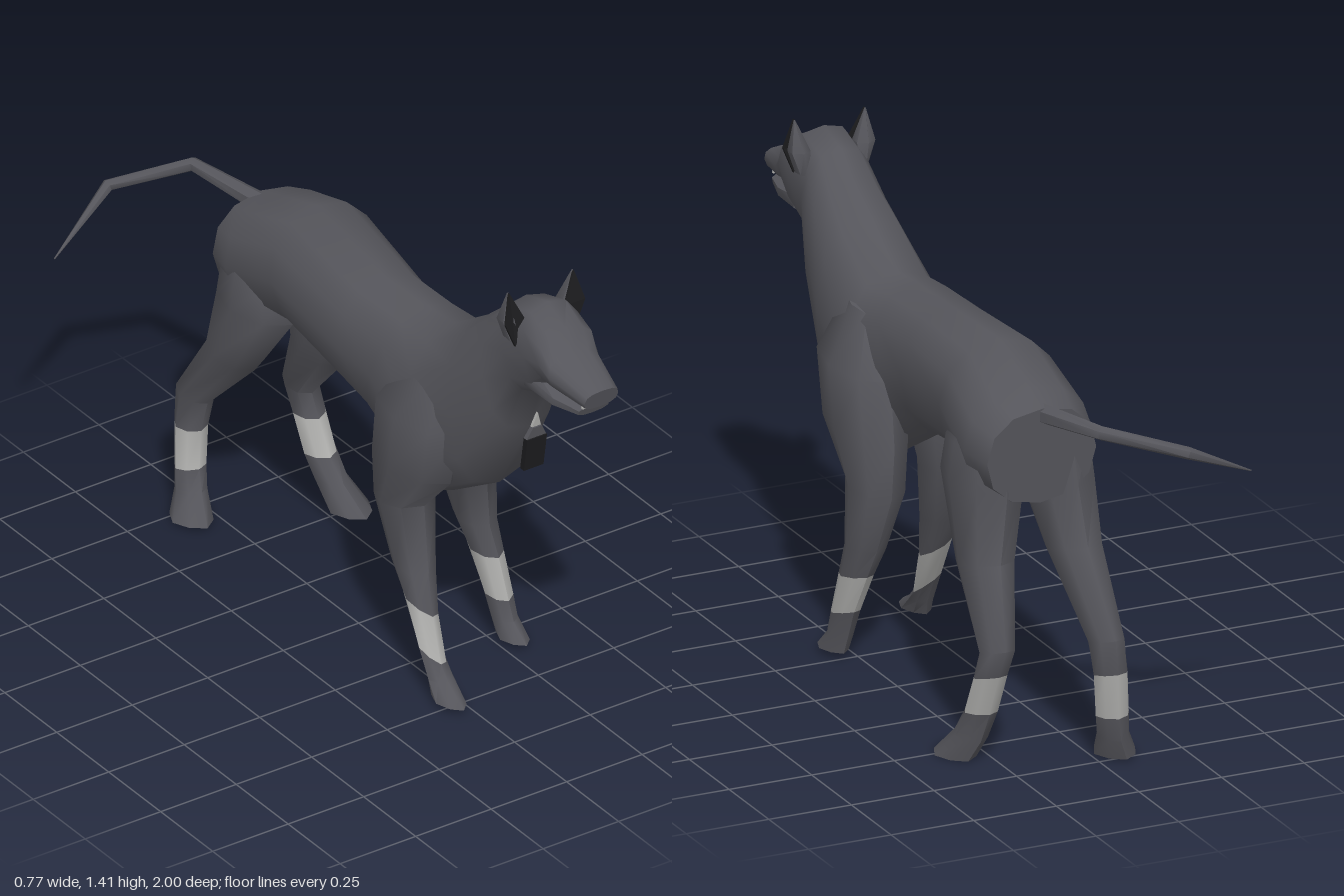
import * as THREE from 'three';
import { toCreasedNormals } from 'three/addons/utils/BufferGeometryUtils.js';

const V = (x, y, z) => new THREE.Vector3(x, y, z);
const material = (name, color) => {
  const m = new THREE.MeshStandardMaterial({ color });
  m.name = name;
  return m;
};

// Closed skin over rings of { center, right, up }; the section runs from power p0 to p1
// (below 1 boxy, above 1 diamond); band = index of the light segment
function loft(rings, sides = 10, p0 = 0.85, p1 = p0, band = -1) {
  const pos = [], index = [], groups = [];
  const last = rings.length - 1, c0 = rings.length * sides, c1 = c0 + 1;
  rings.forEach(({ center, right, up }, i) => {
    const power = THREE.MathUtils.lerp(p0, p1, i / last);
    const soft = v => Math.sign(v) * Math.abs(v) ** power;
    for (let j = 0; j < sides; j++) {
      const a = (j / sides) * Math.PI * 2;
      const p = center.clone()
        .addScaledVector(right, soft(Math.sin(a)))
        .addScaledVector(up, soft(Math.cos(a)));
      pos.push(p.x, p.y, p.z);
    }
  });
  pos.push(...rings[0].center.toArray(), ...rings[last].center.toArray());
  for (let i = 0; i < last; i++) {
    groups.push([index.length, sides * 6, i === band ? 1 : 0]);
    for (let j = 0; j < sides; j++) {
      const k = (j + 1) % sides, a = i * sides, b = a + sides;
      index.push(a + j, b + j, a + k, a + k, b + j, b + k);
    }
  }
  groups.push([index.length, sides * 6, 0]);
  for (let j = 0; j < sides; j++) {
    const k = (j + 1) % sides, b = last * sides;
    index.push(c0, j, k, c1, b + k, b + j);
  }
  const g = new THREE.BufferGeometry();
  g.setAttribute('position', new THREE.Float32BufferAttribute(pos, 3));
  g.setIndex(index);
  if (band >= 0) groups.forEach(q => g.addGroup(...q));
  return toCreasedNormals(g, 1.0);
}

// Ring from two opposite points in the side plane, a centre x, a half width and a sideways tilt
const ring = ([z1, y1, z2, y2, x, w, tilt = 0]) => ({
  center: V(x, (y1 + y2) / 2, (z1 + z2) / 2),
  right: V(w, tilt, 0),
  up: V(0, (y1 - y2) / 2, (z1 - z2) / 2),
});

// Plate drawn in x and y, with z leaning by height
function plate(points, zAt, depth = 0.009) {
  const shape = new THREE.Shape(points.map(p => new THREE.Vector2(...p)));
  const g = new THREE.ExtrudeGeometry(shape, { depth, bevelEnabled: false });
  const p = g.attributes.position;
  for (let i = 0; i < p.count; i++) p.setZ(i, p.getZ(i) + zAt(p.getY(i)));
  g.computeVertexNormals();
  return g;
}

export function createModel() {
  const group = new THREE.Group();
  const coat = material('charcoal coat', 0x55555b);
  const light = material('pale grey', 0xb0b0ae);
  const black = material('black', 0x1c1c1e);
  const add = (name, geometry, mat) => {
    const mesh = new THREE.Mesh(geometry, mat);
    mesh.name = name;
    group.add(mesh);
  };

  // Trunk, neck, skull and upper muzzle: top z,y, bottom z,y, centre x, half width
  add('body', loft([
    [-0.645, 1.02, -0.63, 0.74, 0.12, 0.165],
    [-0.56, 1.05, -0.52, 0.73, 0.12, 0.19],
    [-0.36, 1.12, -0.3, 0.78, 0.11, 0.175],
    [0, 1.087, 0, 0.73, 0.085, 0.155],
    [0.2, 1.087, 0.07, 0.69, 0.092, 0.152],
    [0.31, 1.087, 0.308, 0.55, 0.105, 0.165],
    [0.463, 1.19, 0.517, 0.68, 0.11, 0.15],
    [0.55, 1.265, 0.645, 0.92, 0.12, 0.122],
    [0.63, 1.334, 0.7, 1.07, 0.12, 0.102],
    [0.735, 1.366, 0.785, 1.105, 0.12, 0.1],
    [0.82, 1.32, 0.83, 1.165, 0.12, 0.095],
    [0.855, 1.26, 0.87, 1.168, 0.12, 0.086],
    [1.0, 1.215, 0.985, 1.157, 0.12, 0.056],
  ].map(ring), 12, 0.9, 0.75), coat);

  add('lowerJaw', loft([
    [0.74, 1.2, 0.75, 1.105, 0.12, 0.09],
    [0.87, 1.168, 0.865, 1.108, 0.12, 0.078],
    [0.962, 1.154, 0.95, 1.12, 0.12, 0.052],
  ].map(ring)), coat);
  const teeth = new THREE.BoxGeometry(0.09, 0.006, 0.008);
  teeth.translate(0.12, 1.156, 0.964);
  add('teeth', teeth, light);

  // Legs: front z,y, back z,y, centre x, half width, from shoulder or hip to sole
  const legs = {
    frontLegLeft: [
      [0.4, 1.02, 0.22, 1.0, 0.19, 0.05],
      [0.47, 0.86, 0.1, 0.85, 0.222, 0.1],
      [0.43, 0.68, 0.06, 0.67, 0.23, 0.094],
      [0.26, 0.55, 0.05, 0.53, 0.243, 0.08],
      [0.25, 0.35, 0.105, 0.36, 0.262, 0.058],
      [0.275, 0.255, 0.14, 0.275, 0.275, 0.047],
      [0.308, 0.13, 0.2, 0.155, 0.285, 0.042],
      [0.325, 0.07, 0.23, 0.07, 0.29, 0.038],
      [0.38, 0.02, 0.245, 0.02, 0.295, 0.042],
    ],
    frontLegRight: [
      [0.42, 1.02, 0.24, 1.0, 0.03, 0.05],
      [0.49, 0.86, 0.14, 0.85, -0.002, 0.1],
      [0.45, 0.68, 0.12, 0.67, -0.006, 0.094],
      [0.33, 0.55, 0.14, 0.53, -0.01, 0.082],
      [0.365, 0.35, 0.22, 0.36, -0.02, 0.058],
      [0.397, 0.235, 0.28, 0.27, -0.028, 0.047, -0.025],
      [0.44, 0.105, 0.35, 0.145, -0.03, 0.042, -0.025],
      [0.475, 0.065, 0.395, 0.065, -0.03, 0.038],
      [0.56, 0.02, 0.415, 0.02, -0.037, 0.042],
    ],
    hindLegLeft: [
      [-0.4, 0.98, -0.61, 0.98, 0.205, 0.068],
      [-0.33, 0.88, -0.62, 0.9, 0.215, 0.094],
      [-0.31, 0.78, -0.635, 0.78, 0.222, 0.1],
      [-0.42, 0.535, -0.62, 0.57, 0.235, 0.08],
      [-0.62, 0.33, -0.728, 0.36, 0.272, 0.053],
      [-0.598, 0.255, -0.7, 0.278, 0.28, 0.051],
      [-0.555, 0.15, -0.66, 0.157, 0.288, 0.05],
      [-0.51, 0.085, -0.63, 0.07, 0.3, 0.048],
      [-0.43, 0.003, -0.595, 0.003, 0.322, 0.062],
    ],
    hindLegRight: [
      [-0.42, 0.98, -0.615, 0.98, 0.032, 0.068],
      [-0.36, 0.88, -0.63, 0.9, 0.022, 0.094],
      [-0.34, 0.78, -0.65, 0.78, 0.015, 0.1],
      [-0.5, 0.56, -0.68, 0.605, 0, 0.08],
      [-0.71, 0.35, -0.828, 0.38, -0.012, 0.053],
      [-0.722, 0.26, -0.817, 0.275, -0.025, 0.051],
      [-0.715, 0.145, -0.803, 0.14, -0.035, 0.05],
      [-0.69, 0.085, -0.795, 0.07, -0.045, 0.048],
      [-0.63, 0.01, -0.785, 0.01, -0.067, 0.062],
    ],
  };
  for (const [name, rows] of Object.entries(legs)) {
    add(name, loft(rows.map(ring), 8, 0.9, 1.3, rows.length - 4), [coat, light]);
  }

  // Kinked, tapering tail
  const path = [V(0.11, 0.995, -0.61), V(0.05, 1.015, -0.87), V(-0.155, 0.962, -0.982), V(-0.385, 0.845, -0.905)];
  const radii = [0.03, 0.021, 0.018, 0.002];
  add('tail', loft(path.map((center, i) => {
    const t = path[Math.min(i + 1, 3)].clone().sub(path[Math.max(i - 1, 0)]).normalize();
    const right = V(0, 1, 0).cross(t).normalize();
    const up = t.clone().cross(right);
    return { center, right: right.multiplyScalar(radii[i]), up: up.multiplyScalar(radii[i]) };
  }), 6, 1), coat);

  // Pointed ears with dark front faces
  for (const s of [-1, 1]) {
    const side = s < 0 ? 'Right' : 'Left';
    const x = d => 0.12 + s * d;
    add('ear' + side, loft([
      [0.65, 1.26, 0.722, 1.255, x(0.088), 0.016],
      [0.655, 1.325, 0.719, 1.325, x(0.098), 0.032],
      [0.695, 1.412, 0.7, 1.412, x(0.107), 0.002],
    ].map(ring), 6, 1), coat);
    add('earFront' + side, plate([
      [x(0.107), 1.413], [x(0.131), 1.325], [x(0.1), 1.25], [x(0.066), 1.325],
    ], y => 0.716 - Math.max(0, y - 1.325) * 0.21), black);
  }

  // Hanging chest tag with its loop
  const lean = y => 0.65 + (y - 0.8) * 0.16;
  add('tag', plate([[0.087, 0.8], [0.152, 0.8], [0.152, 0.905], [0.087, 0.905]], lean, 0.018), black);
  add('tagTop', plate([[0.087, 0.905], [0.152, 0.905], [0.134, 0.94], [0.105, 0.94]], lean, 0.014), coat);
  add('tagLoop', plate([[0.105, 0.94], [0.134, 0.94], [0.12, 0.985]], lean), light);

  return group;
}
